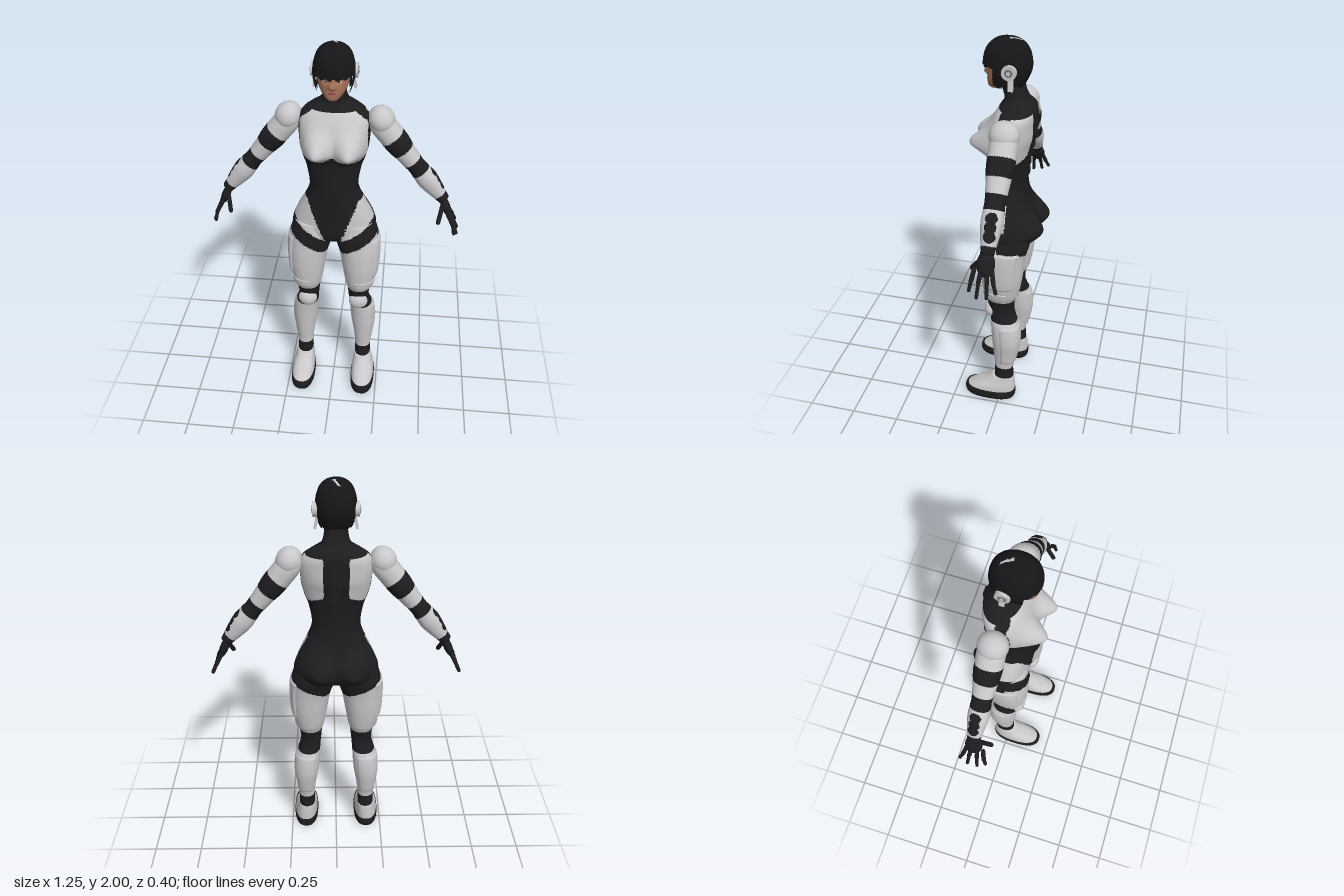
import * as THREE from 'three';

const mat = (name, color, side = THREE.FrontSide) =>
  Object.assign(new THREE.MeshStandardMaterial({ color, side }), { name });
const BLACK = mat('black suit', 0x1d1d1f);
const WHITE = mat('pale armour', 0xc8c8ca, THREE.DoubleSide);
const HAIR = mat('hair', 0x161618, THREE.DoubleSide);
const SKIN = mat('skin', 0xa87459);
const LIP = mat('lips', 0x8a4a42);
const EYE = mat('eye white', 0xd8d4d0);
const GREY = mat('grey metal', 0x77777a);
const SUIT = [BLACK, WHITE];

// Smooth interpolation down a table of rows [y, xMin, xMax, zFront, zBack]
function sample(rows, y) {
  let i = 0;
  while (i < rows.length - 2 && y < rows[i + 1][0]) i++;
  const a = rows[i], b = rows[i + 1], p = rows[Math.max(i - 1, 0)], q = rows[Math.min(i + 2, rows.length - 1)];
  const h = b[0] - a[0], t = THREE.MathUtils.clamp((y - a[0]) / h, 0, 1);
  return a.map((v, k) => {
    const m0 = (b[k] - p[k]) / (b[0] - p[0]) * h, m1 = (q[k] - v) / (q[0] - a[0]) * h;
    return (2 * t ** 3 - 3 * t * t + 1) * v + (t ** 3 - 2 * t * t + t) * m0 +
      (3 * t * t - 2 * t ** 3) * b[k] + (t ** 3 - t * t) * m1;
  });
}
const pow = (v, e) => Math.sign(v) * Math.abs(v) ** e;
function surface(rows, y, a, e = 2.2, grow = 0) {
  const [, x0, x1, zf, zb] = sample(rows, y);
  return new THREE.Vector3(
    (x0 + x1) / 2 + ((x1 - x0) / 2 + grow) * pow(Math.cos(a), 2 / e), y,
    (zf + zb) / 2 + ((zf - zb) / 2 + grow) * pow(Math.sin(a), 2 / e));
}
// Grid of quads; pick(x, y, z) gives the material slot of a face, or -1 to leave it open
function grid(n, m, point, pick, wrap, caps) {
  const pos = [], cols = wrap ? n : n + 1, slots = [[], []];
  for (let i = 0; i <= m; i++) for (let j = 0; j < cols; j++) pos.push(point(j / n, i / m));
  const tri = (...ids) => {
    const c = new THREE.Vector3();
    ids.forEach(k => c.addScaledVector(pos[k], 1 / 3));
    const s = pick(c.x, c.y, c.z);
    if (s >= 0) slots[s].push(...ids);
  };
  for (let i = 0; i < m; i++) for (let j = 0; j < n; j++) {
    const k = wrap ? (j + 1) % n : j + 1;
    const A = i * cols + j, B = i * cols + k;
    tri(A, B, A + cols);
    tri(B, B + cols, A + cols);
  }
  if (caps) for (const r of [0, m]) {
    const c = new THREE.Vector3();
    for (let j = 0; j < n; j++) c.addScaledVector(pos[r * n + j], 1 / n);
    const id = pos.push(c) - 1;
    for (let j = 0; j < n; j++) {
      const p = r * n + j, q = r * n + (j + 1) % n;
      r ? tri(p, q, id) : tri(q, p, id);
    }
  }
  const g = new THREE.BufferGeometry().setFromPoints(pos);
  g.setIndex([...slots[0], ...slots[1]]);
  g.addGroup(0, slots[0].length, 0);
  g.addGroup(slots[0].length, slots[1].length, 1);
  g.computeVertexNormals();
  return g;
}
function loft(rows, { n = 56, m = 60, e = 2.2, pick = () => 0, bend = p => p, caps = true } = {}) {
  const top = rows[0][0], low = rows[rows.length - 1][0];
  return grid(n, m, (u, v) => bend(surface(rows, top + (low - top) * v, u * Math.PI * 2, e)), pick, true, caps);
}
// Raised panel that follows a lofted surface, with edges sinking into it
function panel(rows, a0, a1, top, low, lift = 0.007) {
  const n = 18, m = 24;
  return grid(n, m, (u, v) => {
    const edge = u < 0.01 || u > 0.99 || v < 0.01 || v > 0.99;
    return surface(rows, top + (low - top) * v, a0 + (a1 - a0) * u, 2.2, edge ? -0.004 : lift);
  }, () => 0, false, false);
}
const ball = (x, y, z, rx, ry, rz, tilt = 0) =>
  new THREE.SphereGeometry(1, 28, 18).scale(rx, ry, rz).rotateZ(tilt).translate(x, y, z);
function capsule(a, b, r) {
  const A = new THREE.Vector3(...a), B = new THREE.Vector3(...b), d = B.clone().sub(A);
  const q = new THREE.Quaternion().setFromUnitVectors(new THREE.Vector3(0, 1, 0), d.clone().normalize());
  const c = A.add(B).multiplyScalar(0.5);
  return new THREE.CapsuleGeometry(r, d.length(), 4, 10).applyQuaternion(q).translate(c.x, c.y, c.z);
}
function mirrored(g) {
  const c = g.clone(), id = c.index.array;
  for (const k of ['position', 'normal']) {
    const at = c.attributes[k];
    for (let i = 0; i < at.count; i++) at.setX(i, -at.getX(i));
  }
  for (let i = 0; i < id.length; i += 3) [id[i], id[i + 1]] = [id[i + 1], id[i]];
  return c;
}
const sym = ([y, r, zf, zb]) => [y, -r, r, zf, zb];
const bell = (a, b) => Math.exp(-a * a - b * b);

// Colour rule shared by the hips and thighs
function hipColour(x, y, z) {
  x = Math.abs(x);
  if (y < 0.9 + (x - 0.03) * (z > 0 ? 0.6 : 0.45)) return 1;
  return z > -0.03 && y < 1.22 && x > 0.035 + (y - 0.98) * 0.37 && y > 0.98 + (x - 0.035) * 0.727 ? 1 : 0;
}
function torsoColour(x, y, z) {
  if (y < 1.22) return y < 0.99 ? 0 : hipColour(x, y, z);
  const ax = Math.abs(x);
  if (z > 0) return ax < 0.16 && y > 1.455 + (ax - 0.09) ** 2 * 4.5 &&
    y < 1.685 - Math.max(0, ax - 0.1) * 0.8 ? 1 : 0;
  return z < -0.05 && ax > 0.06 && y > 1.43 + (0.15 - ax) * 0.4 && y < 1.67 ? 1 : 0;
}
// Bust and seat fullness
function torsoShape(p) {
  const ax = Math.abs(p.x), dy = p.y - 1.51;
  if (p.z > 0) p.z += 0.085 * Math.min(1, p.z / 0.05) * bell((ax - 0.08) / 0.06, dy / (dy > 0 ? 0.075 : 0.04));
  else p.z -= 0.062 * Math.min(1, -p.z / 0.08) * bell((ax - 0.09) / 0.07, (p.y - 1.07) / 0.075);
  return p;
}

export function createModel() {
  const model = new THREE.Group();
  model.name = 'armouredFigure';
  const add = (name, g, m) => {
    const mesh = new THREE.Mesh(g, m);
    mesh.name = name;
    model.add(mesh);
  };
  const pair = (name, g, m) => {
    add(name + 'Left', g, m);
    add(name + 'Right', mirrored(g), m);
  };

  // Torso, neck and hips
  const torso = [[1.81, .052, .025, -.08], [1.76, .056, .018, -.09], [1.72, .07, .01, -.11], [1.69, .115, .028, -.132],
    [1.66, .155, .047, -.14], [1.62, .17, .065, -.14], [1.55, .168, .085, -.138], [1.5, .163, .09, -.125],
    [1.45, .15, .09, -.115], [1.4, .133, .09, -.107], [1.3, .118, .092, -.102], [1.25, .129, .092, -.107],
    [1.2, .153, .09, -.117], [1.15, .179, .09, -.132], [1.1, .2, .09, -.145], [1.05, .212, .09, -.145],
    [1.0, .19, .08, -.125], [.97, .11, .05, -.08], [.95, .04, .02, -.04]].map(sym);
  add('torso', loft(torso, { n: 96, m: 130, pick: torsoColour, bend: torsoShape }), SUIT);
  for (let i = 0; i < 7; i++) {
    const y = 1.65 - i * 0.05;
    add('spinePlate', new THREE.BoxGeometry(0.04, 0.032, 0.009).translate(0, y, sample(torso, y)[4] - 0.002), BLACK);
  }

  // Legs
  const leg = [[1.08, .03, .2, .08, -.125], [1.0, .006, .224, .094, -.14], [.95, .012, .232, .097, -.128],
    [.9, .028, .234, .1, -.12], [.8, .045, .23, .1, -.11], [.7, .062, .213, .09, -.092], [.66, .073, .197, .075, -.075],
    [.6, .08, .188, .065, -.068], [.55, .085, .197, .055, -.08], [.5, .088, .216, .05, -.098],
    [.4, .096, .224, .043, -.105], [.3, .112, .213, .035, -.09], [.22, .12, .207, .028, -.072], [.12, .122, .207, .033, -.075]];
  const legColour = (x, y, z) => y > 0.8 ? hipColour(x, y, z)
    : (y > 0.665 || (y > 0.215 && y < 0.53)) ? 1 : 0;
  pair('leg', loft(leg, { n: 64, m: 150, pick: legColour }), SUIT);
  pair('thighPanel', panel(leg, -0.8, 0.75, 0.99, 0.76), WHITE);
  pair('thighCuff', panel(leg, -0.5, 1.9, 0.735, 0.675, 0.004), WHITE);
  pair('calfPanel', panel(leg, -2.3, 0.3, 0.515, 0.25, 0.005), WHITE);
  pair('kneePad', ball(.136, .585, .052, .05, .046, .036), WHITE);

  // Shoes
  pair('sole', loft([[.055, .106, .235, .192, -.083], [.04, .104, .237, .198, -.086],
    [.012, .105, .236, .196, -.084], [0, .11, .231, .188, -.077]], { m: 10, e: 2.5 }), BLACK);
  pair('shoe', loft([[.145, .121, .209, .04, -.077], [.11, .115, .219, .085, -.08],
    [.08, .11, .229, .143, -.082], [.05, .107, .234, .19, -.083]], { m: 16, e: 2.4 }), WHITE);

  // Arms, shaped hanging straight down and then swung outwards
  const arm = [[0.03, .04, .045], [-.02, .058, .062], [-.1, .06, .064], [-.16, .059, .063], [-.21, .052, .056],
    [-.27, .046, .05], [-.31, .043, .046], [-.35, .047, .048], [-.4, .051, .05], [-.46, .043, .042],
    [-.51, .033, .034], [-.54, .028, .03]].map(([y, rx, rz]) => [y, -rx, rx, rz, -rz]);
  const armColour = (x, y, z) => {
    const s = -y;
    if (x > 0.01 && [.385, .425, .465].some(c => Math.hypot(s - c, z + 0.005) < 0.027)) return 0;
    return s < 0.115 || (s > 0.2 && s < 0.275) || (s > 0.345 && s < 0.505) ? 1 : 0;
  };
  const place = g => g.rotateZ(0.677).translate(0.2, 1.63, -0.04);
  pair('arm', place(loft(arm, { m: 120, pick: armColour })), SUIT);
  pair('shoulderGuard', ball(.218, 1.628, -.038, .062, .068, .07, 0.5), WHITE);

  // Hands
  pair('palm', ball(.552, 1.168, -.037, .021, .06, .042, 0.43), BLACK);
  [[.012, .03, .6, 1.05], [-.018, -.008, .615, 1.028], [-.046, -.055, .618, 1.035], [-.068, -.094, .608, 1.06]]
    .forEach(([z0, z1, x, y]) => {
      const mid = [.592, 1.095, (z0 + z1) / 2];
      pair('fingerBase', capsule([.565, 1.145, z0], mid, .0105), BLACK);
      pair('fingerTip', capsule(mid, [x, y, z1], .0085), BLACK);
    });
  pair('thumb', capsule([.535, 1.185, -.015], [.518, 1.115, .035], .011), BLACK);

  // Face
  const face = [[1.96, .05, .06, -.06], [1.9, .076, .088, -.08], [1.86, .074, .09, -.08], [1.82, .066, .09, -.06],
    [1.79, .05, .09, -.04], [1.768, .03, .084, -.01], [1.76, .012, .06, .02]].map(sym);
  add('face', loft(face, { bend: p => {
    if (p.z > 0) p.z += 0.018 * bell(p.x / 0.011, (p.y - 1.832) / (p.y > 1.832 ? 0.025 : 0.008)) -
      0.006 * bell((Math.abs(p.x) - 0.03) / 0.014, (p.y - 1.857) / 0.01);
    return p;
  } }), SKIN);
  add('lips', ball(0, 1.806, .0885, .017, .006, .005), LIP);
  pair('eye', ball(.03, 1.857, .0735, .013, .006, .006), EYE);
  pair('iris', ball(.03, 1.857, .0775, .005, .005, .003), BLACK);
  pair('brow', ball(.031, 1.87, .077, .017, .003, .006), HAIR);

  // Bobbed hair with a fringe, open over the face
  const hair = [[2.0, .012, .012, -.016], [1.992, .042, .045, -.05], [1.97, .07, .077, -.083], [1.94, .085, .098, -.104],
    [1.9, .094, .108, -.114], [1.86, .095, .109, -.114], [1.82, .088, .1, -.1], [1.78, .073, .083, -.078]].map(sym);
  add('hair', loft(hair, { n: 80, m: 70, pick: (x, y, z) => {
    if (z > 0.048 && y < 1.876 + 0.006 * Math.sin(x * 180)) return -1;
    if (y < 1.79 + 0.006 * Math.sin(z * 200)) return -1;
    return y > 1.94 && Math.abs(z + 0.04) < 0.025 && Math.abs(x - 0.5 * (z + 0.04)) < 0.006 ? 1 : 0;
  } }), [HAIR, WHITE]);

  // Ear pieces with a stem towards the jaw
  const disc = (r, t, x) => new THREE.CylinderGeometry(r, r, t, 28).rotateZ(Math.PI / 2).translate(x, 1.87, -.03);
  pair('earDisc', disc(.034, .022, .095), WHITE);
  pair('earRing', disc(.018, .006, .106), GREY);
  pair('earCap', disc(.009, .006, .109), WHITE);
  pair('earStem', new THREE.BoxGeometry(.012, .075, .024).rotateZ(0.2).translate(.088, 1.82, -.036), WHITE);
  return model;
}
